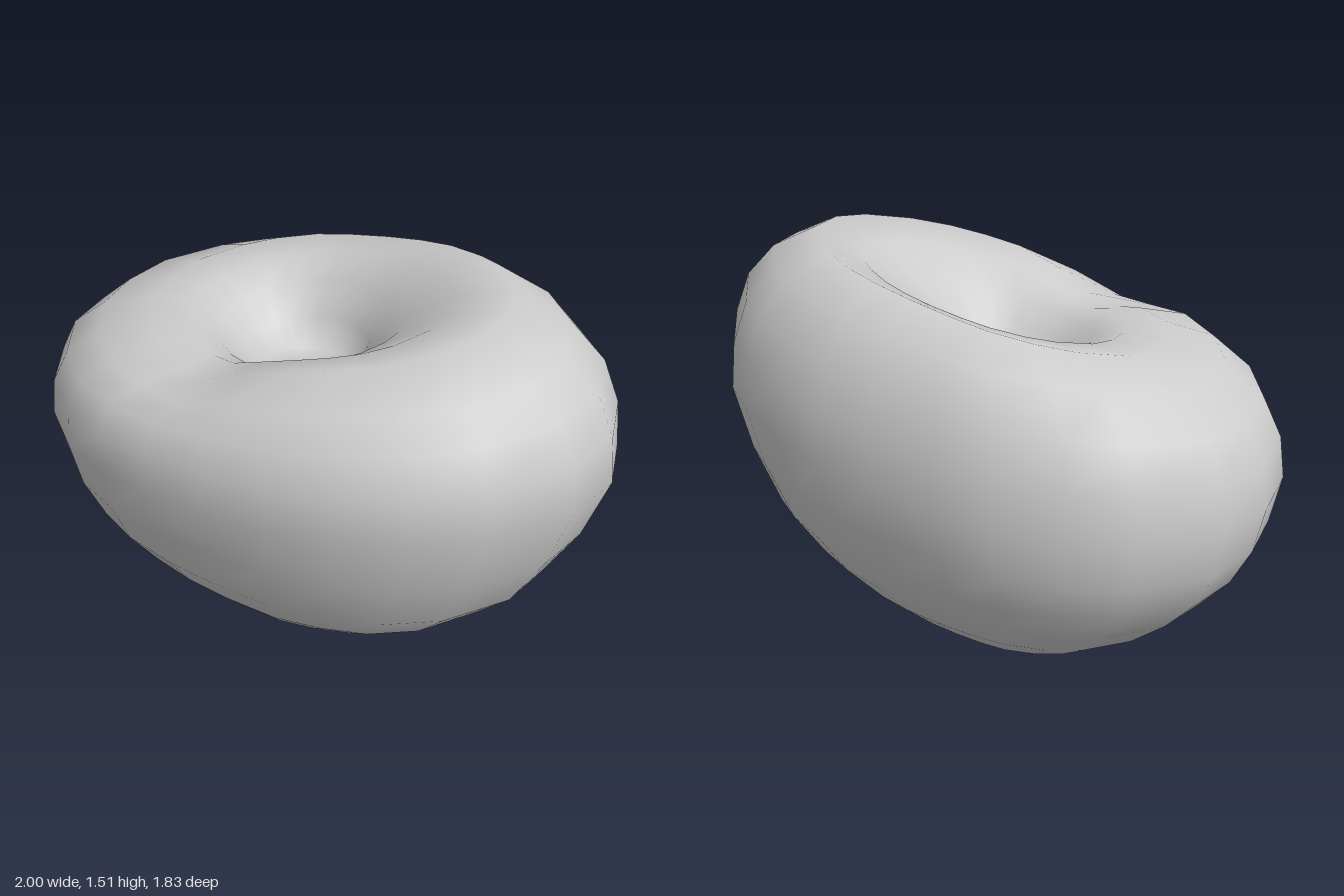
import * as THREE from 'three';

// Plan outline of the widest ring (x, z), a slanted oval
const OUTLINE = [
  [-0.42, -0.92], [-0.2, -0.91], [0.04, -0.84], [0.23, -0.73], [0.44, -0.58], [0.62, -0.43],
  [0.77, -0.27], [0.9, -0.06], [0.97, 0.1], [1, 0.41], [0.91, 0.65], [0.74, 0.81],
  [0.45, 0.91], [0.2, 0.91], [-0.02, 0.85], [-0.23, 0.76], [-0.46, 0.6], [-0.64, 0.45],
  [-0.8, 0.28], [-0.92, 0.09], [-1, -0.18], [-0.99, -0.47], [-0.88, -0.68], [-0.71, -0.84],
];

// Rings from the base, over the rim and down into the hollow:
// scale, centre x, centre z, height, tilt along x, tilt along z, roundness
const RINGS = [
  [0.0, -0.06, -0.14, 0.0, 0, 0, 0],
  [0.14, -0.06, -0.12, 0.01, 0, 0, 0],
  [0.28, -0.06, -0.09, 0.04, 0, 0, 0],
  [0.45, -0.05, -0.08, 0.1, 0, 0, 0],
  [0.6, -0.045, -0.07, 0.2, 0, 0, 0],
  [0.75, -0.035, -0.06, 0.335, 0, 0, 0],
  [0.865, -0.03, -0.045, 0.48, 0, 0.02, 0],
  [0.95, -0.015, -0.02, 0.67, 0.02, 0.07, 0],
  [1.0, 0, 0, 0.88, 0.04, 0.11, 0],
  [0.98, 0, 0, 1.04, 0.06, 0.1, 0],
  [0.92, 0, 0, 1.18, 0.09, 0.08, 0],
  [0.8, 0.01, 0.01, 1.295, 0.125, 0.05, 0],
  [0.62, 0.01, 0, 1.37, 0.2, 0.05, 0],
  [0.47, 0, -0.02, 1.34, 0.2, 0.04, 0.2],
  [0.35, -0.03, -0.04, 1.26, 0.17, 0.04, 0.5],
  [0.25, -0.05, -0.04, 1.15, 0.1, 0.02, 0.8],
  [0.19, -0.04, -0.03, 1.06, -0.1, 0.12, 1],
  [0.1, -0.05, 0.01, 1.06, -0.1, 0.1, 1],
  [0.0, -0.06, 0.04, 1.09, 0, 0, 1],
];

// Shallow notch in the low side of the rim
function notch(x, y, z) {
  const d2 = (x + 0.45) ** 2 + (z - 0.25) ** 2;
  return 0.09 * Math.exp(-d2 / 0.04) * THREE.MathUtils.smoothstep(y, 1.0, 1.25);
}

// Closed skin through the rings, one pole at each end
function skinGeometry() {
  const n = OUTLINE.length;
  const positions = [];
  const index = [];
  const inner = RINGS.slice(1, -1);
  for (const [s, cx, cz, height, tx, tz, round] of inner) {
    for (const [ox, oz] of OUTLINE) {
      const k = s * THREE.MathUtils.lerp(1, 0.9 / Math.hypot(ox, oz), round);
      const x = cx + ox * k;
      const z = cz + oz * k;
      const y = height + tx * x + tz * z;
      positions.push(x, y - notch(x, y, z), z);
    }
  }
  const base = positions.length / 3;
  for (const [, cx, cz, y] of [RINGS[0], RINGS[RINGS.length - 1]]) positions.push(cx, y, cz);

  const last = (inner.length - 1) * n;
  for (let j = 0; j < n; j++) {
    const k = (j + 1) % n;
    index.push(base, j, k);
    for (let i = 0; i < inner.length - 1; i++) {
      const a = i * n + j, b = i * n + k, c = a + n, d = b + n;
      index.push(a, c, b, b, c, d);
    }
    index.push(last + j, base + 1, last + k);
  }
  const geometry = new THREE.BufferGeometry();
  geometry.setAttribute('position', new THREE.Float32BufferAttribute(positions, 3));
  geometry.setIndex(index);
  geometry.computeVertexNormals();
  return geometry;
}

export function createModel() {
  const group = new THREE.Group();
  const material = new THREE.MeshStandardMaterial({ color: 0xcccccc });
  const body = new THREE.Mesh(skinGeometry(), material);
  body.name = 'dimpledBody';
  group.add(body);
  return group;
}
